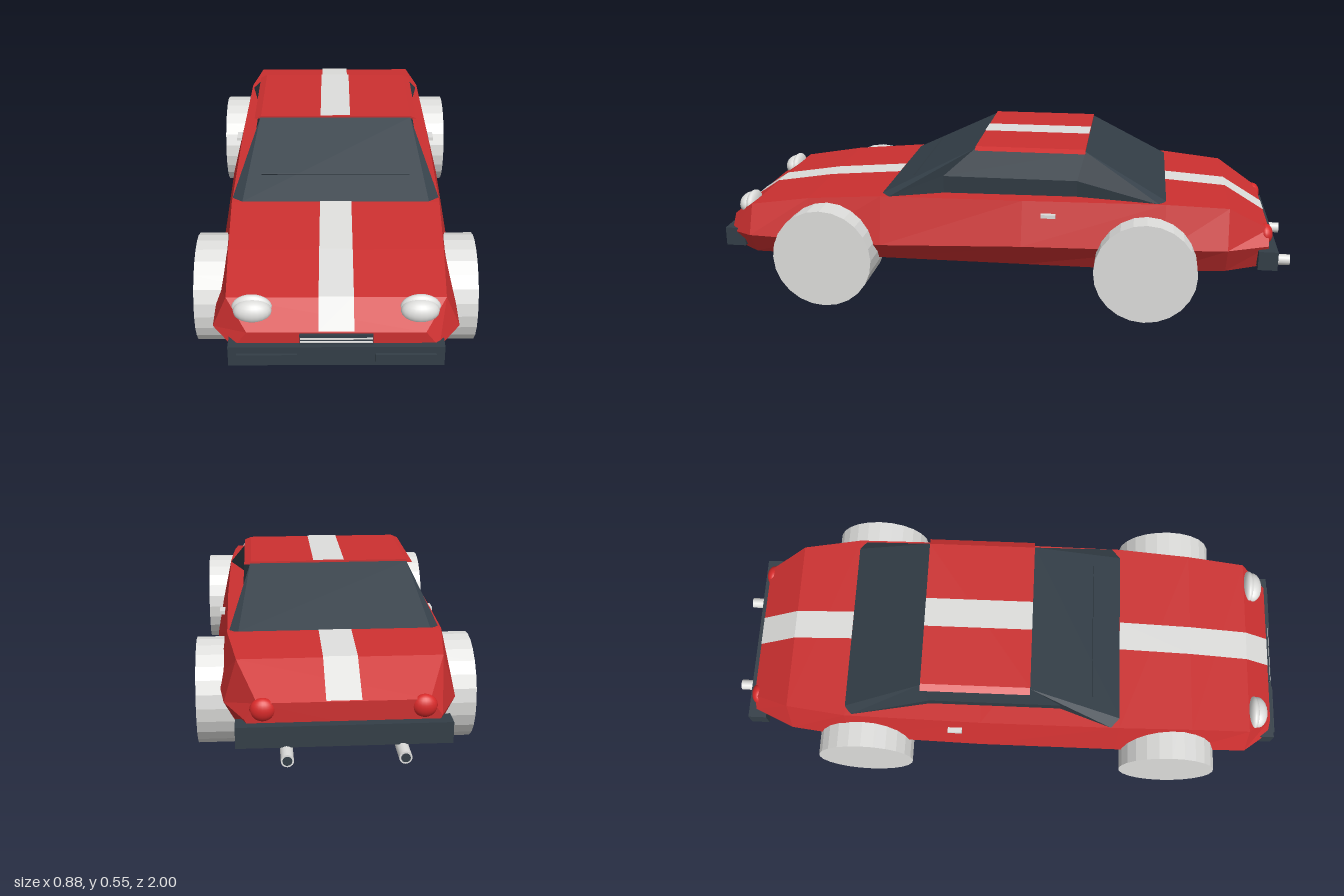
import * as THREE from 'three';

const mat = (name, color, extra = {}) =>
  Object.assign(new THREE.MeshStandardMaterial({ color, ...extra }), { name });

// flat-faced geometry from convex polygons given as corner lists
function facets(polys) {
  const pos = [];
  for (const p of polys)
    for (let i = 1; i < p.length - 1; i++) pos.push(...p[0], ...p[i], ...p[i + 1]);
  const g = new THREE.BufferGeometry();
  g.setAttribute('position', new THREE.Float32BufferAttribute(pos, 3));
  g.computeVertexNormals();
  return g;
}
const flip = ([x, y, z]) => [-x, y, z];

export function createModel() {
  const red = mat('red paint', 0xcc3030);
  const dark = mat('dark glass and trim', 0x333e47);
  const darkOpen = dark;
  darkOpen.side = THREE.DoubleSide;
  const light = mat('light grey', 0xdededc);
  light.side = THREE.DoubleSide;
  const lamp = mat('tail lamp red', 0xd82a2a);

  const car = new THREE.Group();
  car.name = 'car';
  const add = (name, geo, material, x = 0, y = 0, z = 0) => {
    const m = new THREE.Mesh(geo, material);
    m.name = name;
    m.position.set(x, y, z);
    car.add(m);
    return m;
  };
  const box = (name, material, w, h, d, x, y, z) =>
    add(name, new THREE.BoxGeometry(w, h, d), material, x, y, z);

  // body sections: z, bottom half-width, bottom y, waist half-width, waist y, deck half-width, deck y
  const sections = [
    [0.97, 0.255, 0.15, 0.3, 0.21, 0.26, 0.262],
    [0.88, 0.31, 0.14, 0.368, 0.22, 0.325, 0.322],
    [0.67, 0.31, 0.138, 0.372, 0.215, 0.335, 0.355],
    [0.41, 0.31, 0.138, 0.38, 0.21, 0.345, 0.376],
    [-0.08, 0.31, 0.138, 0.385, 0.23, 0.347, 0.381],
    [-0.56, 0.31, 0.138, 0.375, 0.235, 0.34, 0.385],
    [-0.77, 0.3, 0.145, 0.35, 0.235, 0.31, 0.37],
    [-0.91, 0.25, 0.155, 0.287, 0.235, 0.25, 0.285],
  ];
  const rings = sections.map(([z, b, by, w, wy, t, ty]) =>
    [[b, by, z], [w, wy, z], [t, ty, z], [-t, ty, z], [-w, wy, z], [-b, by, z]]);
  const skin = [rings[0], [...rings[rings.length - 1]].reverse()];
  for (let i = 0; i < rings.length - 1; i++)
    for (let j = 0; j < 6; j++) {
      const k = (j + 1) % 6;
      skin.push([rings[i][j], rings[i + 1][j], rings[i + 1][k], rings[i][k]]);
    }
  add('body', facets(skin), red);

  // cabin glass, with side windows tucked under the roof
  const f0 = [0.31, 0.378, 0.41], f1 = [0.345, 0.376, 0.38];
  const fTop = [0.265, 0.537, 0.09], fMid = [0.29, 0.44, 0.2], fLow = [0.282, 0.375, 0.2];
  const r0 = [0.305, 0.387, -0.56], r1 = [0.335, 0.382, -0.54];
  const rTop = [0.265, 0.537, -0.285], rMid = [0.29, 0.44, -0.26], rLow = [0.282, 0.375, -0.26];
  const side = [
    [f0, f1, fTop], [f1, fMid, fTop], [f1, fLow, fMid],
    [fLow, rLow, rMid, fMid], [fMid, rMid, rTop, fTop],
    [rMid, r1, rTop], [rLow, r1, rMid], [r1, r0, rTop],
  ];
  add('sideWindows', facets([...side, ...side.map(p => p.map(flip).reverse())]), darkOpen);
  add('windscreen', facets([[flip(f0), f0, fTop, flip(fTop)]]), darkOpen);
  add('rearWindow', facets([[r0, flip(r0), flip(rTop), rTop]]), darkOpen);
  const wiper = box('wiperLine', dark, 0.5, 0.005, 0.006, 0, 0.428, 0.31);
  wiper.rotation.x = -1.1;

  // roof plate, narrower on top
  const roof = new THREE.BoxGeometry(0.57, 0.01, 0.375);
  const rp = roof.attributes.position;
  for (let i = 0; i < rp.count; i++) if (rp.getY(i) > 0) rp.setX(i, rp.getX(i) * 0.92);
  roof.computeVertexNormals();
  add('roof', roof, red, 0, 0.538, -0.0975);

  // racing stripe ribbons over bonnet, roof and boot
  const stripe = (name, line) => {
    const polys = [];
    for (let i = 0; i < line.length - 1; i++) {
      const [z0, y0] = line[i], [z1, y1] = line[i + 1], w = 0.052;
      polys.push([[-w, y0, z0], [w, y0, z0], [w, y1, z1], [-w, y1, z1]]);
    }
    add(name, facets(polys), light);
  };
  const deck = sections.map(s => [s[0], s[6] + 0.003]);
  stripe('bonnetStripe', deck.slice(0, 4));
  stripe('roofStripe', [[0.09, 0.5455], [-0.285, 0.5455]]);
  stripe('bootStripe', deck.slice(5));

  // bumpers and grille
  box('frontBumper', dark, 0.63, 0.065, 0.07, 0, 0.192, 0.955);
  box('rearBumper', dark, 0.63, 0.065, 0.065, 0, 0.192, -0.9075);
  box('grille', dark, 0.214, 0.034, 0.02, 0, 0.241, 0.968);
  for (const y of [0.235, 0.247]) box('grilleBar', light, 0.21, 0.004, 0.006, 0, y, 0.979);

  const ball = new THREE.SphereGeometry(1, 20, 14);
  const dome = new THREE.SphereGeometry(1, 20, 8, 0, Math.PI * 2, 0, Math.PI / 2);
  const wheel = new THREE.CylinderGeometry(0.172, 0.172, 0.205, 24).toNonIndexed();
  wheel.computeVertexNormals();
  const pipe = new THREE.CylinderGeometry(0.019, 0.019, 0.12, 14);

  // paired parts
  for (const s of [1, -1]) {
    for (const [name, z] of [['frontWheel', 0.6], ['rearWheel', -0.5]])
      add(name, wheel, light, s * 0.3375, 0.172, z).rotation.z = Math.PI / 2;
    add('headlight', ball, light, s * 0.245, 0.3, 0.915).scale.set(0.057, 0.037, 0.036);
    add('headlightHood', dome, light, s * 0.247, 0.302, 0.902).scale.set(0.06, 0.044, 0.022);
    add('tailLight', ball, lamp, s * 0.235, 0.262, -0.9).scale.set(0.038, 0.035, 0.025);
    box('bumperPad', dark, 0.176, 0.028, 0.009, s * 0.202, 0.189, 0.9945);
    box('doorHandle', light, 0.018, 0.012, 0.05, s * 0.366, 0.337, -0.17);
    add('exhaustPipe', pipe, light, s * 0.168, 0.145, -0.939).rotation.x = Math.PI / 2;
    const hole = add('exhaustOpening', new THREE.CircleGeometry(0.014, 14), dark, s * 0.168, 0.145, -1);
    hole.rotation.y = Math.PI;
  }
  return car;
}
